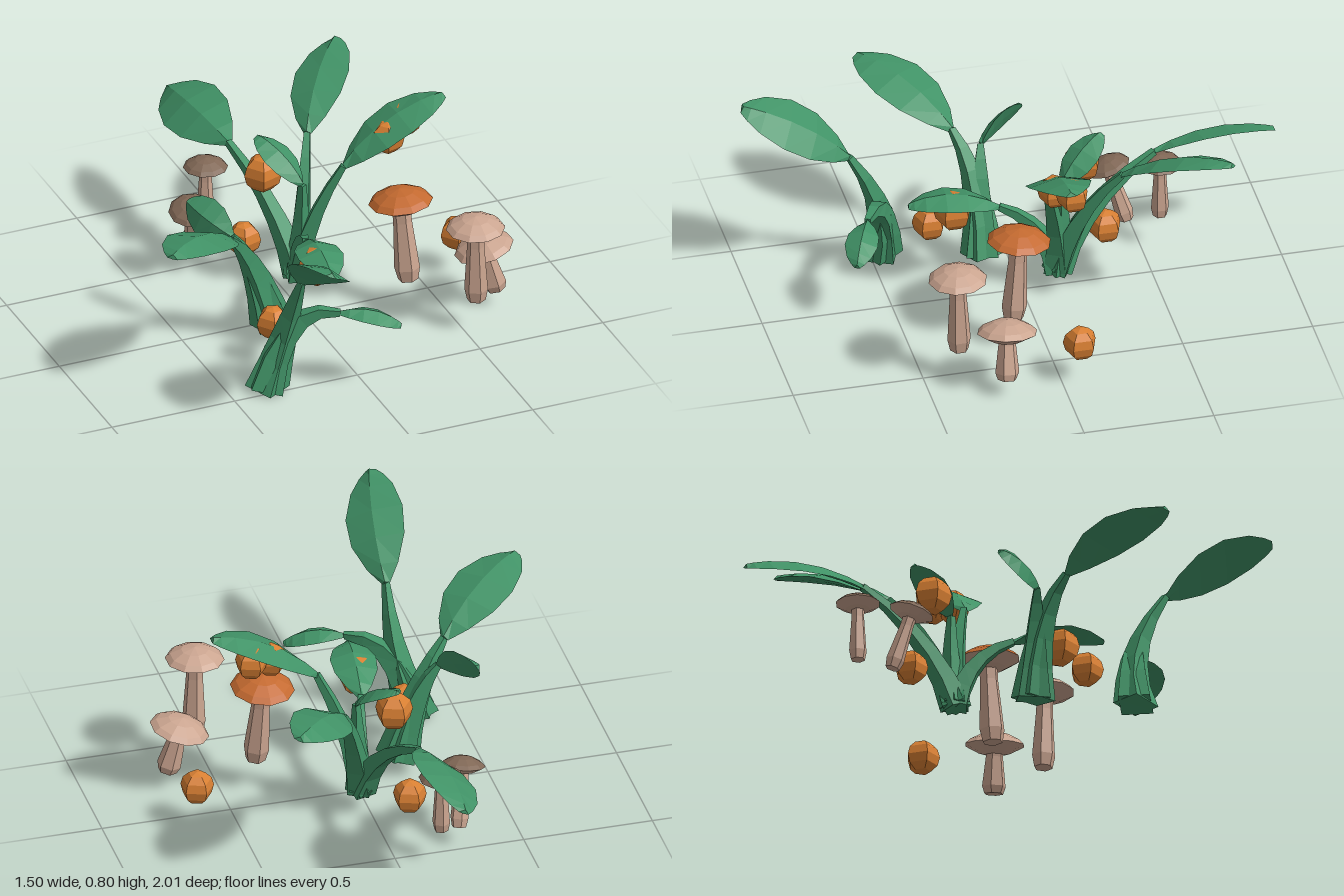
import * as THREE from 'three';

const mat = (name, color) => {
  const m = new THREE.MeshStandardMaterial({ color, flatShading: true });
  m.name = name;
  return m;
};
const V = (a) => new THREE.Vector3(...a);
const UP = new THREE.Vector3(0, 1, 0);

// Closed skin over a list of equal-length rings of points
function loft(rings) {
  const pos = [];
  const tri = (...pts) => pts.forEach((p) => pos.push(p.x, p.y, p.z));
  const n = rings[0].length;
  for (let i = 0; i < rings.length - 1; i++) {
    for (let j = 0; j < n; j++) {
      const k = (j + 1) % n;
      const a = rings[i][j], b = rings[i][k], c = rings[i + 1][k], d = rings[i + 1][j];
      tri(a, d, c);
      tri(a, c, b);
    }
  }
  const s = rings[0], e = rings[rings.length - 1];
  for (let j = 1; j < n - 1; j++) {
    tri(s[0], s[j], s[j + 1]);
    tri(e[0], e[j + 1], e[j]);
  }
  const g = new THREE.BufferGeometry();
  g.setAttribute('position', new THREE.Float32BufferAttribute(pos, 3));
  g.computeVertexNormals();
  return g;
}

// Tapered four-sided stalk along a bent path
function stalkGeometry(from, bend, to, r0, r1) {
  const curve = new THREE.QuadraticBezierCurve3(V(from), V(bend), V(to));
  const side = V(to).sub(V(from)).cross(UP).normalize();
  const rings = [];
  for (let i = 0; i <= 5; i++) {
    const t = i / 5, c = curve.getPoint(t), d = curve.getTangent(t);
    const n = side.clone().cross(d).normalize();
    const r = r0 + (r1 - r0) * Math.pow(t, 0.8);
    rings.push([0, 1, 2, 3].map((k) => {
      const a = (k + 0.5) * Math.PI / 2;
      return c.clone().addScaledVector(side, r * Math.cos(a)).addScaledVector(n, r * Math.sin(a));
    }));
  }
  return loft(rings);
}

// Arched oval blade with a raised midrib; roll lifts one edge
function bladeGeometry(base, tip, width, rollDeg, arch) {
  const b = V(base), d = V(tip).sub(b), dir = d.clone().normalize();
  const roll = rollDeg * Math.PI / 180;
  const flat = d.clone().cross(UP).normalize();
  const up = flat.clone().cross(dir).normalize();
  const side = flat.clone().multiplyScalar(Math.cos(roll)).addScaledVector(up, Math.sin(roll));
  const nrm = side.clone().cross(dir).normalize();
  const outline = [[0, 0.14], [0.14, 0.55], [0.36, 0.93], [0.6, 1], [0.82, 0.74], [0.94, 0.42], [1, 0.18]];
  return loft(outline.map(([t, w]) => {
    const c = b.clone().addScaledVector(d, t).addScaledVector(nrm, arch * 4 * t * (1 - t));
    const at = (s, h) => c.clone().addScaledVector(side, s * w * width / 2).addScaledVector(nrm, h);
    return [at(1, -0.006), at(0, 0.008 + 0.012 * w), at(-1, -0.006), at(0, -0.008)];
  }));
}

export function createModel() {
  const root = new THREE.Group();
  root.name = 'forestPlants';
  const green = mat('leafGreen', 0x419367);
  const orange = mat('berryOrange', 0xd98033);
  const rust = mat('capRust', 0xc46a30);
  const beige = mat('mushroomBeige', 0xcba590);
  const brown = mat('capBrown', 0x816856);

  const add = (parent, name, geometry, material) => {
    const m = new THREE.Mesh(geometry, material);
    m.name = name;
    parent.add(m);
    return m;
  };

  // Leafy plants: each shoot has a stalk bend, blade base, blade tip, width, roll, arch
  const plants = [
    { name: 'tallPlant', base: [0.03, 0.12, -0.13], r: 0.06, shoots: [
      [[-0.01, 0.38, -0.24], [-0.085, 0.51, -0.53], [-0.13, 0.51, -1.0], 0.245, 28, 0.03],
      [[0.08, 0.42, -0.2], [0.16, 0.59, -0.35], [0.43, 0.75, -0.71], 0.22, 15, 0.03],
      [[0.06, 0.36, -0.12], [0.18, 0.6, -0.05], [0.585, 0.82, -0.05], 0.24, 0, 0.035],
      [[0.02, 0.34, -0.08], [-0.03, 0.39, 0.08], [-0.07, 0.42, 0.42], 0.175, 0, 0.035],
      [[0.05, 0.3, -0.15], [0.05, 0.5, -0.14], [-0.06, 0.64, -0.32], 0.145, 0, 0.015],
    ] },
    { name: 'middlePlant', base: [-0.18, 0.09, 0.11], r: 0.085, shoots: [
      [[-0.25, 0.4, 0.1], [-0.38, 0.53, 0.18], [-0.735, 0.68, 0.46], 0.25, 0, 0.035],
      [[-0.25, 0.38, 0.1], [-0.33, 0.48, 0.08], [-0.435, 0.56, -0.1], 0.15, 65, 0.015],
    ] },
    { name: 'frontPlant', base: [-0.35, 0.04, 0.46], r: 0.085, shoots: [
      [[-0.25, 0.3, 0.44], [-0.27, 0.54, 0.6], [-0.32, 0.79, 1.0], 0.23, 25, 0.03],
      [[-0.27, 0.39, 0.46], [-0.1, 0.355, 0.57], [0.11, 0.3, 0.66], 0.125, 0, 0.02],
    ] },
  ];
  for (const p of plants) {
    const plant = new THREE.Group();
    plant.name = p.name;
    root.add(plant);
    for (const [bend, base, tip, width, roll, arch] of p.shoots) {
      add(plant, 'stalk', stalkGeometry(p.base, bend, base, p.r, 0.016), green);
      add(plant, 'leaf', bladeGeometry(base, tip, width, roll, arch), green);
    }
  }

  // Berries
  const berries = [
    [0.65, 0.195, -0.07, 0.066], [-0.255, 0.205, 0.295, 0.066], [-0.1, 0.195, -0.345, 0.066],
    [-0.065, 0.52, -0.25, 0.074], [-0.06, 0.38, 0.25, 0.076],
    [0.355, 0.69, -0.04, 0.064], [0.445, 0.72, -0.09, 0.064],
  ];
  for (const [x, y, z, r] of berries) {
    add(root, 'berry', new THREE.SphereGeometry(r, 5, 6), orange).position.set(x, y, z);
  }

  // Mushrooms: foot, cap rim centre, cap radius, cap material
  const lathe = (pts, n) => new THREE.LatheGeometry(pts.map((p) => new THREE.Vector2(...p)), n);
  const mushrooms = [
    [[0.37, 0.16, 0.12], [0.35, 0.485, 0.095], 0.122, rust],
    [[0.54, 0.165, 0.37], [0.535, 0.475, 0.375], 0.112, beige],
    [[0.685, 0.1, 0.22], [0.64, 0.28, 0.21], 0.115, beige],
    [[-0.16, 0.17, -0.57], [-0.16, 0.4, -0.57], 0.085, brown],
    [[-0.258, 0.105, -0.465], [-0.29, 0.33, -0.4], 0.087, brown],
  ];
  for (const [foot, head, r, capMat] of mushrooms) {
    const axis = V(head).sub(V(foot)), h = axis.length(), s = r / 0.12;
    const g = new THREE.Group();
    g.name = 'mushroom';
    g.position.copy(V(foot));
    g.quaternion.setFromUnitVectors(UP, axis.normalize());
    root.add(g);
    add(g, 'stem', lathe([[0, 0], [0.038 * s, 0], [0.048 * s, h * 0.15], [0.035 * s, h * 0.75], [0.036 * s, h]], 6), beige);
    const gills = add(g, 'gills', lathe([[0.03, -0.038], [0.065, -0.03], [0.12, 0]], 10), beige);
    const cap = add(g, 'cap', lathe([[0.12, 0], [0.1, 0.02], [0.055, 0.043], [0, 0.054]], 10), capMat);
    for (const m of [gills, cap]) {
      m.position.y = h;
      m.scale.setScalar(s);
    }
  }
  return root;
}
